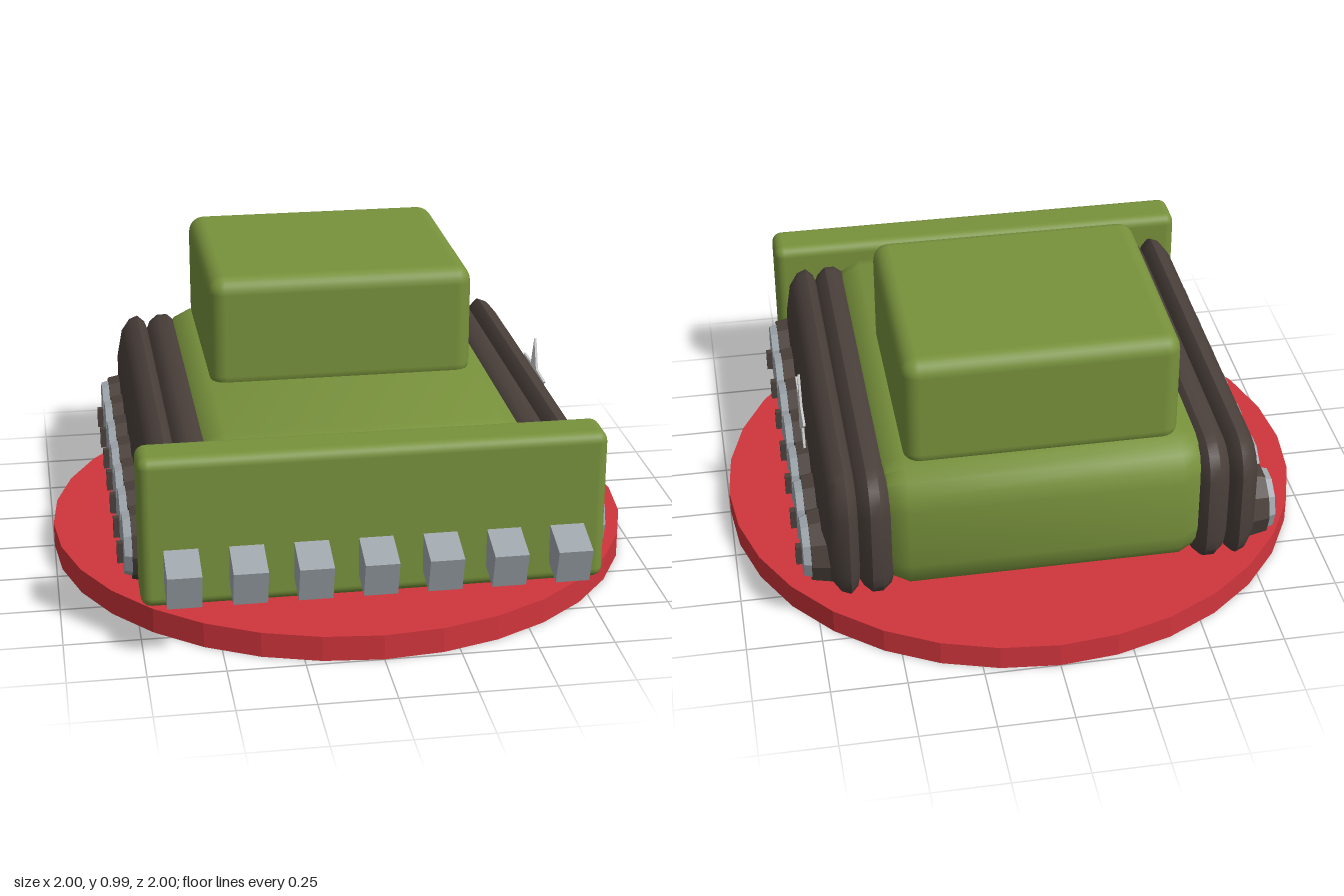
import * as THREE from 'three';
import { toCreasedNormals } from 'three/addons/utils/BufferGeometryUtils.js';
import { RoundedBoxGeometry } from 'three/addons/geometries/RoundedBoxGeometry.js';

const mat = (name, color) => {
  const m = new THREE.MeshStandardMaterial({ color });
  m.name = name;
  return m;
};

// Rounded rectangle in the z/y plane, shrunk by inset
function ring(b, inset) {
  const pts = [], steps = 4, r = Math.max(0.02, b.r - inset * 0.5);
  const cz = (b.z0 + b.z1) / 2, cy = (b.y0 + b.y1) / 2;
  const hz = (b.z1 - b.z0) / 2 - inset - r, hy = (b.y1 - b.y0) / 2 - inset - r;
  const signs = [[1, 1], [-1, 1], [-1, -1], [1, -1]];
  signs.forEach(([sz, sy], q) => {
    for (let i = 0; i <= steps; i++) {
      const a = (q + i / steps) * Math.PI / 2;
      pts.push([cz + sz * hz + r * Math.cos(a), cy + sy * hy + r * Math.sin(a)]);
    }
  });
  return pts;
}

// Closed loft along x through [x, inset] sections of the rounded rectangle
function loft(b, sections) {
  const pos = [], idx = [];
  const n = ring(b, 0).length;
  sections.forEach(([x, inset]) => ring(b, inset).forEach(([z, y]) => pos.push(x, y, z)));
  const last = sections.length - 1, c0 = pos.length / 3;
  const cy = (b.y0 + b.y1) / 2, cz = (b.z0 + b.z1) / 2;
  pos.push(sections[0][0], cy, cz, sections[last][0], cy, cz);
  for (let j = 0; j < n; j++) {
    const k = (j + 1) % n;
    for (let i = 0; i < last; i++) {
      const a = i * n + j, e = i * n + k, c = a + n, d = e + n;
      idx.push(a, c, d, a, d, e);
    }
    idx.push(c0, j, k, c0 + 1, last * n + k, last * n + j);
  }
  const g = new THREE.BufferGeometry();
  g.setAttribute('position', new THREE.Float32BufferAttribute(pos, 3));
  g.setIndex(idx);
  return toCreasedNormals(g, 0.65);
}

function starShape(R, r) {
  const s = new THREE.Shape();
  for (let i = 0; i < 10; i++) {
    const a = Math.PI / 2 + i * Math.PI / 5, q = i % 2 ? r : R;
    s[i ? 'lineTo' : 'moveTo'](q * Math.cos(a), q * Math.sin(a));
  }
  s.closePath();
  return s;
}

export function createModel() {
  const green = mat('hull green', 0x78923c);
  const brown = mat('track brown', 0x4a403b);
  const grey = mat('metal grey', 0xa0a7ad);
  const red = mat('base red', 0xd0353c);
  const pale = mat('star pale grey', 0xcfcfcf);

  const model = new THREE.Group();
  model.name = 'toyTank';
  const add = (name, geo, material, x = 0, y = 0, z = 0, parent = model) => {
    const m = new THREE.Mesh(geo, material);
    m.name = name;
    m.position.set(x, y, z);
    parent.add(m);
    return m;
  };

  // Round base
  add('base', toCreasedNormals(new THREE.CylinderGeometry(1, 1, 0.085, 32), 0.1), red, 0, 0.0425, 0);

  // Hull and cabin
  add('hull', loft({ z0: -0.76, z1: 0.7, y0: 0.15, y1: 0.625, r: 0.13 },
    [[-0.54, 0.07], [-0.51, 0.025], [-0.45, 0], [0.45, 0], [0.51, 0.025], [0.54, 0.07]]), green);
  add('cabin', new RoundedBoxGeometry(0.9, 0.4, 0.79, 3, 0.055), green, 0, 0.79, -0.265);

  // Front blade with a row of tilted teeth
  add('blade', new RoundedBoxGeometry(1.5, 0.51, 0.16, 3, 0.035), green, 0, 0.4, 0.75);
  for (let i = -3; i <= 3; i++) {
    const t = add('bladeTooth', new THREE.BoxGeometry(0.11, 0.125, 0.14), grey, i * 0.207, 0.27, 0.875);
    t.rotation.x = 0.28;
  }

  // Track lobes, road wheels, discs and hub pins on both sides
  const lobe = { z0: -0.76, z1: 0.7, y0: 0.13, y1: 0.605, r: 0.12 };
  const inner = loft(lobe, [[-0.07, 0.07], [-0.045, 0.02], [-0.015, 0], [0.02, 0], [0.045, 0.02], [0.07, 0.06]]);
  const outer = s => {
    const secs = [[-0.05, 0.06], [-0.035, 0.02], [-0.01, 0], [0.02, 0.01], [0.05, 0.045], [0.07, 0.12]];
    return loft(lobe, s > 0 ? secs : secs.map(([x, d]) => [-x, d]).reverse());
  };
  for (const s of [1, -1]) {
    const track = new THREE.Group();
    track.name = s > 0 ? 'leftTrack' : 'rightTrack';
    model.add(track);
    add('innerTrackLobe', inner, brown, s * 0.555, 0, 0, track);
    add('outerTrackLobe', outer(s), brown, s * 0.655, 0, 0, track);
    const round = (r1, r2, w) => toCreasedNormals(
      new THREE.CylinderGeometry(r1, r2, w, 10).rotateX(0).rotateZ(-s * Math.PI / 2), 0.3);
    const wheel = round(0.118, 0.135, 0.09), disc = round(0.1, 0.109, 0.03);
    const pin = new THREE.BoxGeometry(0.03, 0.07, 0.025);
    for (let i = -3; i <= 3; i++) {
      const z = 0.005 + i * 0.195;
      add('roadWheel', wheel, brown, s * 0.72, 0.27, z, track);
      add('wheelDisc', disc, grey, s * 0.775, 0.27, z, track);
      add('hubPin', pin, brown, s * 0.795, 0.24, z, track);
    }
  }

  // Star plate on the left side
  const star = new THREE.ExtrudeGeometry(starShape(0.158, 0.066), { depth: 0.008, bevelEnabled: false });
  star.rotateY(Math.PI / 2);
  add('starPlate', star, pale, 0.732, 0.477, -0.115);

  return model;
}
